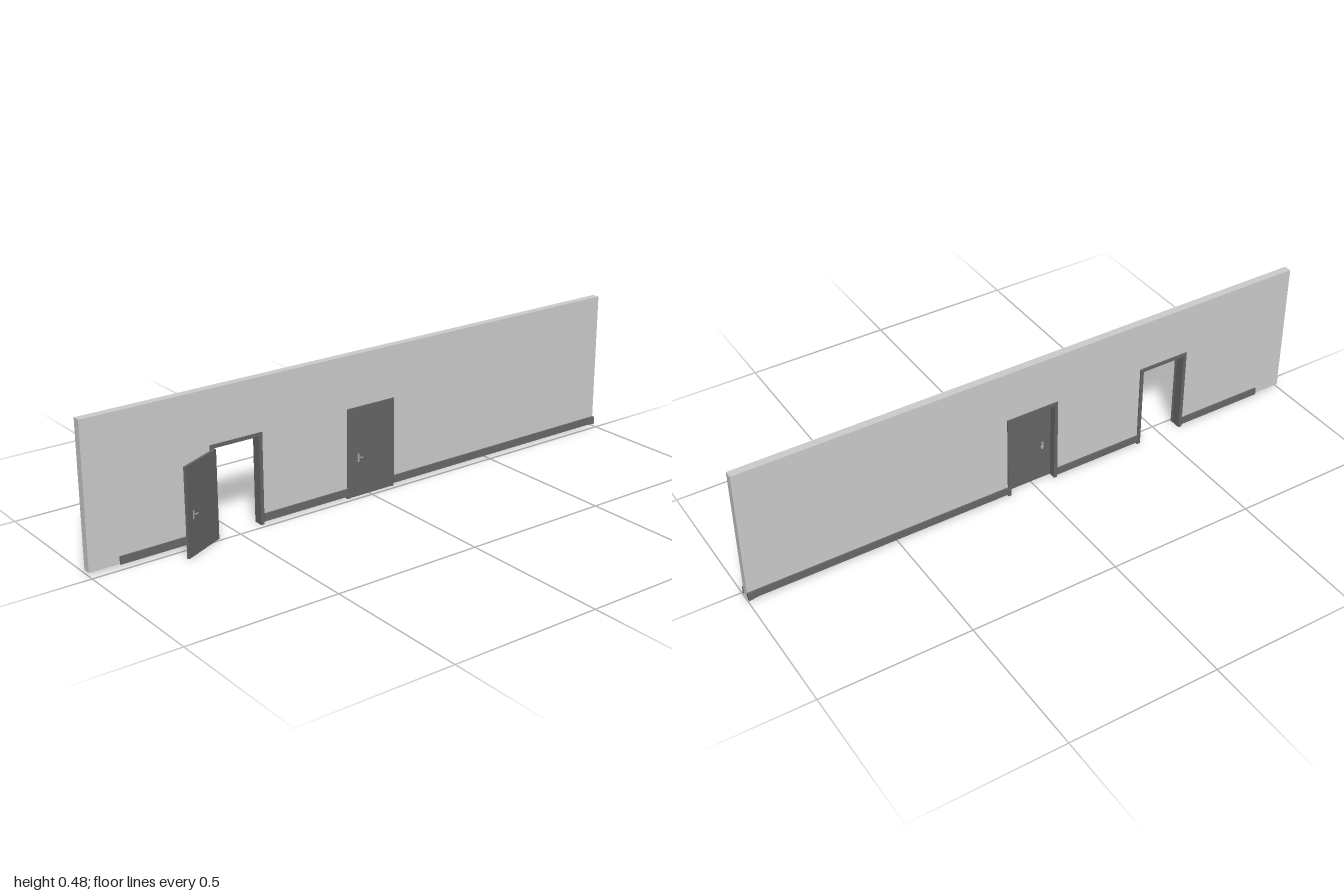
import * as THREE from 'three';

const BASE = 0.011, TOP = 0.476;      // wall bottom and top
const BACK = -0.045, FRONT = -0.019;  // wall faces in z
const DOORWAYS = [[-0.585, -0.402], [-0.085, 0.1]];
const HEAD = 0.302, JAMB = 0.012;
const F0 = -0.049, F1 = -0.016;       // frame depth in z

const light = new THREE.MeshStandardMaterial({ color: 0xcccccc });
const dark = new THREE.MeshStandardMaterial({ color: 0x666666 });
const metal = new THREE.MeshStandardMaterial({ color: 0xaaaaaa });

// Box given by its minimum and maximum corners
function box(parent, name, material, [x0, y0, z0], [x1, y1, z1]) {
  const geo = new THREE.BoxGeometry(x1 - x0, y1 - y0, z1 - z0);
  geo.translate((x0 + x1) / 2, (y0 + y1) / 2, (z0 + z1) / 2);
  const mesh = new THREE.Mesh(geo, material);
  mesh.name = name;
  parent.add(mesh);
  return mesh;
}

// Wall outline with the doorways notched in from below
function makeWall() {
  const s = new THREE.Shape();
  s.moveTo(-1, BASE);
  for (const [a, b] of DOORWAYS) {
    s.lineTo(a + 0.003, BASE);
    s.lineTo(a + 0.003, HEAD - 0.003);
    s.lineTo(b - 0.003, HEAD - 0.003);
    s.lineTo(b - 0.003, BASE);
  }
  s.lineTo(1, BASE);
  s.lineTo(1, TOP);
  s.lineTo(-1, TOP);
  s.closePath();
  const geo = new THREE.ExtrudeGeometry(s, { depth: FRONT - BACK, bevelEnabled: false });
  geo.translate(0, 0, BACK);
  const wall = new THREE.Mesh(geo, light);
  wall.name = 'wall';
  return wall;
}

// Skirting board; its outer face flares out at the far end of the wall
function makeSkirting(x0, x1, side) {
  const wallZ = side > 0 ? FRONT : BACK;
  const xs = x1 > 0.99 ? [x0, 0.965, x1] : [x0, x1];
  const geo = new THREE.BoxGeometry(1, 0.024, 1, xs.length - 1, 1, 1);
  const p = geo.attributes.position;
  for (let i = 0; i < p.count; i++) {
    const x = xs[Math.round((p.getX(i) + 0.5) * (xs.length - 1))];
    const low = p.getY(i) < 0;
    const out = x > 0.99 ? (low ? 0.011 : 0.008) : (low ? 0.006 : 0.005);
    const outer = p.getZ(i) * side > 0;
    p.setXYZ(i, x, low ? BASE - 0.001 : 0.035, wallZ + side * (outer ? out : -0.001));
  }
  geo.computeVertexNormals();
  const mesh = new THREE.Mesh(geo, dark);
  mesh.name = side > 0 ? 'frontSkirting' : 'backSkirting';
  return mesh;
}

function makeFrame(a, b) {
  const g = new THREE.Group();
  g.name = 'doorFrame';
  box(g, 'jamb', dark, [a, 0, F0], [a + JAMB, HEAD, F1]);
  box(g, 'jamb', dark, [b - JAMB, 0, F0], [b, HEAD, F1]);
  box(g, 'frameHead', dark, [a + JAMB, HEAD - JAMB, F0], [b - JAMB, HEAD, F1]);
  return g;
}

// Leaf hinged at its local origin, reaching out along dir * x
function makeDoor(width, dir) {
  const g = new THREE.Group();
  g.name = 'door';
  const t = 0.008, hx = dir * (width - 0.03);
  box(g, 'doorLeaf', dark, [Math.min(0, dir * width), 0.001, -t], [Math.max(0, dir * width), 0.29, 0]);
  for (const side of [1, -1]) {
    const handle = new THREE.Group();
    handle.name = 'doorHandle';
    box(handle, 'handlePlate', metal, [-0.003, 0.117, 0], [0.003, 0.145, 0.0015]);
    const stem = new THREE.Mesh(new THREE.CylinderGeometry(0.0015, 0.0015, 0.008, 8), metal);
    stem.name = 'handleStem';
    stem.rotation.x = Math.PI / 2;
    stem.position.set(0, 0.134, 0.004);
    handle.add(stem);
    const l = -dir * side * 0.013;
    box(handle, 'handleLever', metal, [Math.min(0, l), 0.1325, 0.007], [Math.max(0, l), 0.1355, 0.0095]);
    handle.position.set(hx, 0, side > 0 ? 0 : -t);
    if (side < 0) handle.rotation.y = Math.PI;
    g.add(handle);
  }
  return g;
}

export function createModel() {
  const model = new THREE.Group();
  model.name = 'wallWithDoors';
  model.add(makeWall());

  // Skirting runs between the doorways on both faces
  const stops = [-0.9, ...DOORWAYS.flat(), 1];
  for (let i = 0; i < stops.length; i += 2) {
    for (const side of [1, -1]) model.add(makeSkirting(stops[i], stops[i + 1], side));
  }
  for (const [a, b] of DOORWAYS) model.add(makeFrame(a, b));

  // Open door, swung out to the front
  const open = makeDoor(0.16, 1);
  open.position.set(DOORWAYS[0][0] + JAMB, 0, F1);
  open.rotation.y = THREE.MathUtils.degToRad(-155);
  model.add(open);

  // Closed door, flush with the front of its frame
  const shut = makeDoor(0.161, -1);
  shut.position.set(DOORWAYS[1][1] - JAMB, 0, F1);
  model.add(shut);
  return model;
}
